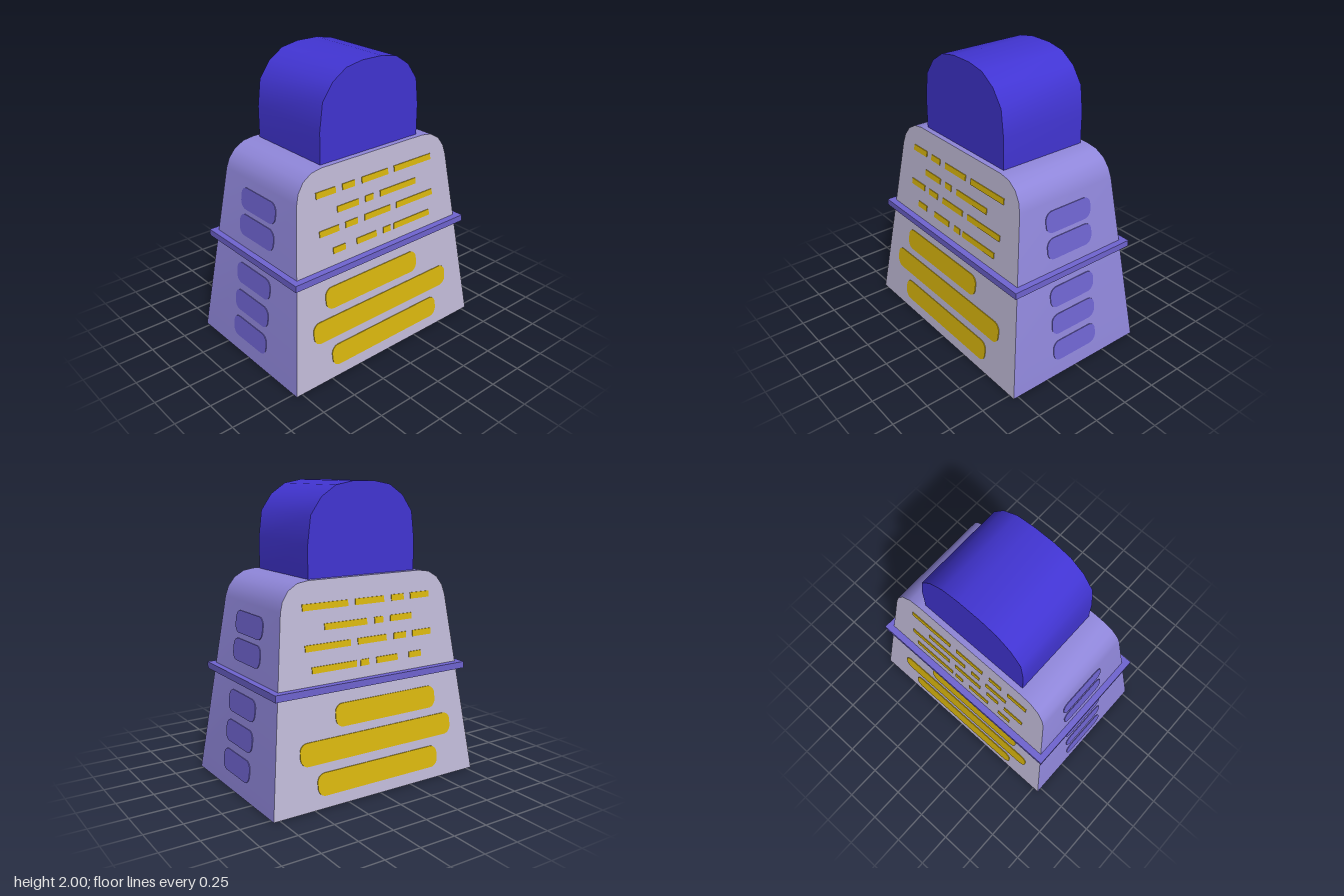
import * as THREE from 'three';
import { toCreasedNormals } from 'three/addons/utils/BufferGeometryUtils.js';

const material = (name, color) => {
  const m = new THREE.MeshStandardMaterial({ color });
  m.name = name;
  return m;
};

// Half depth and half width of the tapered body at height y
const halfDepth = (y) => 0.535 - 0.1277 * y;
const halfWidth = (y) => 0.793 - 0.125 * y;

// Symmetric outline from its right-hand points, bottom to top
function outline(right) {
  const left = right.map(([x, y]) => [-x, y]).reverse();
  return new THREE.Shape([...right, ...left].map(([x, y]) => new THREE.Vector2(x, y)));
}

// Moves every vertex's z by a rule of (z, y)
function moveZ(geo, rule) {
  const p = geo.attributes.position;
  for (let i = 0; i < p.count; i++) p.setZ(i, rule(p.getZ(i), p.getY(i)));
  return geo;
}

// Solid with the given outline, its front and back at z = +-depthAt(y)
function solid(right, depthAt) {
  const geo = new THREE.ExtrudeGeometry(outline(right), { depth: 1, bevelEnabled: false });
  moveZ(geo, (z, y) => (z * 2 - 1) * depthAt(y));
  return toCreasedNormals(geo, 0.65);
}

// Thin plate with rounded corners lying on a sloped face, then turned to its side
function plate(x0, x1, y0, y1, r, faceAt, turn) {
  const s = new THREE.Shape();
  if (r > 0) {
    s.absarc(x1 - r, y0 + r, r, -Math.PI / 2, 0);
    s.absarc(x1 - r, y1 - r, r, 0, Math.PI / 2);
    s.absarc(x0 + r, y1 - r, r, Math.PI / 2, Math.PI);
    s.absarc(x0 + r, y0 + r, r, Math.PI, Math.PI * 1.5);
  } else {
    s.moveTo(x0, y0).lineTo(x1, y0).lineTo(x1, y1).lineTo(x0, y1);
  }
  const geo = new THREE.ExtrudeGeometry(s, { depth: 0.007, bevelEnabled: false, curveSegments: 5 });
  moveZ(geo, (z, y) => z - 0.002 + faceAt(y));
  geo.computeVertexNormals();
  return geo.rotateY(turn);
}

export function createModel() {
  const group = new THREE.Group();
  const blue = material('deep blue', 0x4235d4);
  const face = material('pale lavender', 0xbfb9d6);
  const shell = material('soft violet', 0x9087db);
  const trim = material('violet trim', 0x7065d2);
  const yellow = material('yellow', 0xd8b50e);

  const add = (name, geo, mat, parent = group) => {
    const mesh = new THREE.Mesh(geo, mat);
    mesh.name = name;
    parent.add(mesh);
  };
  const addGroup = (name) => {
    const g = new THREE.Group();
    g.name = name;
    group.add(g);
    return g;
  };

  // Tapered body with rounded shoulders
  const bodyOutline = [
    [0.793, 0], [0.639, 1.235], [0.62, 1.3], [0.577, 1.36], [0.51, 1.4], [0.43, 1.412],
  ];
  add('body', solid(bodyOutline, halfDepth), [face, shell]);

  // Arched block on top
  const headOutline = [
    [0.41, 1.405], [0.41, 1.62], [0.387, 1.8], [0.31, 1.908], [0.205, 1.977], [0.08, 2],
  ];
  add('archedTop', solid(headOutline, () => 0.316), blue);

  // Band around the waist
  const band = new THREE.BoxGeometry(1.48, 0.045, 0.966);
  add('waistBand', band.translate(0, 0.747, 0), trim);

  // Large rounded bars: x0, x1, y0, y1
  const bars = [
    [-0.495, 0.305, 0.487, 0.635],
    [-0.615, 0.58, 0.285, 0.432],
    [-0.485, 0.47, 0.08, 0.225],
  ];
  // Rows of small dashes: bottom height, then x spans
  const wide = [[-0.495, -0.34], [-0.285, -0.185], [-0.125, 0.1], [0.155, 0.49]];
  const rows = [
    [1.232, wide],
    [1.102, [[-0.34, -0.165], [-0.108, -0.04], [0.02, 0.34]]],
    [0.983, wide],
    [0.846, [[-0.4, -0.3], [-0.205, -0.035], [0.025, 0.09], [0.12, 0.452]]],
  ];

  for (const [side, sign, turn] of [['front', 1, 0], ['back', -1, Math.PI]]) {
    const marks = addGroup(side + 'Markings');
    // The back repeats the front, so x is flipped before the half turn
    const mark = (name, a, b, y0, y1, r) => {
      const [x0, x1] = sign > 0 ? [a, b] : [-b, -a];
      add(name, plate(x0, x1, y0, y1, r, halfDepth, turn), yellow, marks);
    };
    for (const [a, b, y0, y1] of bars) mark('bar', a, b, y0, y1, 0.055);
    for (const [y, spans] of rows) {
      for (const [a, b] of spans) mark('dash', a, b, y, y + 0.04, 0);
    }
  }

  // Rounded pads on both flanks
  for (const [side, turn] of [['left', Math.PI / 2], ['right', -Math.PI / 2]]) {
    const pads = addGroup(side + 'Pads');
    for (const y of [0.11, 0.308, 0.508, 0.85, 1.03]) {
      add('pad', plate(-0.185, 0.185, y, y + 0.145, 0.055, halfWidth, turn), trim, pads);
    }
  }
  return group;
}
